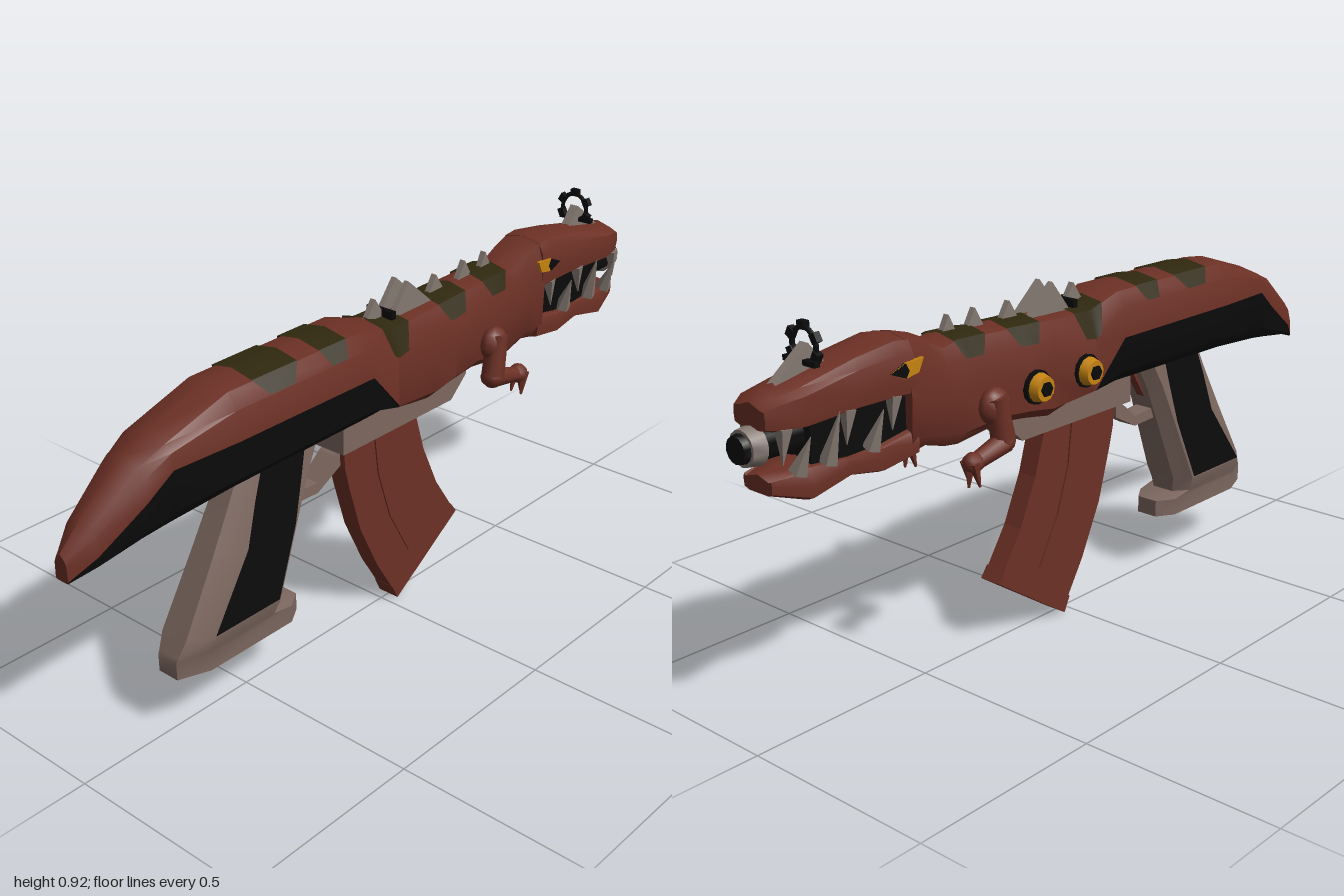
import * as THREE from 'three';
import { toCreasedNormals } from 'three/addons/utils/BufferGeometryUtils.js';

const mat = (name, color, side = THREE.FrontSide) => {
  const m = new THREE.MeshStandardMaterial({ color, side });
  m.name = name;
  return m;
};

export function createModel() {
  const group = new THREE.Group();
  const brown = mat('reddish brown hide', 0x6c3025);
  const black = mat('black', 0x0b0b0b);
  const grey = mat('warm grey', 0x7c675f);
  const bone = mat('bone grey', 0x857972);
  const olive = mat('olive stripe', 0x30280f, THREE.DoubleSide);
  const amber = mat('amber', 0xc4820f);

  const add = (name, geo, material) => {
    const mesh = new THREE.Mesh(geo, material);
    mesh.name = name;
    group.add(mesh);
    return mesh;
  };

  // Skin through rows of points; closed rows can be capped at both ends
  const skin = (rows, closed = true, caps = closed, crease = 0.7) => {
    const n = rows[0].length, idx = [];
    for (let i = 0; i < rows.length - 1; i++) {
      for (let j = 0; j < (closed ? n : n - 1); j++) {
        const a = i * n + j, b = i * n + (j + 1) % n;
        idx.push(a, a + n, b, b, a + n, b + n);
      }
    }
    const e = (rows.length - 1) * n;
    if (caps) for (let j = 1; j < n - 1; j++) idx.push(0, j, j + 1, e, e + j + 1, e + j);
    const g = new THREE.BufferGeometry();
    g.setAttribute('position', new THREE.Float32BufferAttribute(rows.flat(2), 3));
    g.setIndex(idx);
    return toCreasedNormals(g, crease);
  };

  // Side profile of [z, y] points, given a thickness across x
  const plate = (name, pts, thick, x, material) => {
    const shape = new THREE.Shape(pts.map(([z, y]) => new THREE.Vector2(-z, y)));
    const g = new THREE.ExtrudeGeometry(shape, { depth: thick, bevelEnabled: false });
    g.translate(0, 0, -thick / 2).rotateY(Math.PI / 2).translate(x, 0, 0);
    return add(name, g, material);
  };

  // Tapered rod between two points
  const rod = (name, p, q, r1, r2, sides, material) => {
    const a = new THREE.Vector3(...p), b = new THREE.Vector3(...q), d = b.clone().sub(a);
    const g = toCreasedNormals(new THREE.CylinderGeometry(r2, r1, d.length(), sides), 0.9);
    const mesh = add(name, g, material);
    mesh.position.copy(a).add(b).multiplyScalar(0.5);
    mesh.quaternion.setFromUnitVectors(new THREE.Vector3(0, 1, 0), d.normalize());
    return mesh;
  };

  // Section: z, bottom y, side line y, top y, half width, top half width
  const ring = ([z, yb, ym, yt, w, wt]) => {
    const half = [[w * 0.65, yb], [w * 0.96, yb + (ym - yb) * 0.25], [w, ym],
      [w * 0.95, ym + (yt - ym) * 0.6], [wt, yt - 0.012]];
    return [...half, [0, yt], ...half.map(([x, y]) => [-x, y]).reverse()].map(([x, y]) => [x, y, z]);
  };
  const tail = [
    [1, 0.525, 0.53, 0.59, 0.02, 0.014], [0.94, 0.545, 0.575, 0.65, 0.05, 0.034],
    [0.82, 0.565, 0.655, 0.745, 0.07, 0.048], [0.75, 0.575, 0.71, 0.775, 0.08, 0.055],
    [0.57, 0.588, 0.71, 0.832, 0.09, 0.06], [0.13, 0.593, 0.71, 0.835, 0.092, 0.064],
    [0.03, 0.593, 0.6, 0.803, 0.085, 0.06],
  ];
  const torso = [
    [0.03, 0.593, 0.6, 0.803, 0.085, 0.06], [-0.12, 0.558, 0.66, 0.808, 0.08, 0.055],
    [-0.2, 0.572, 0.67, 0.81, 0.08, 0.052], [-0.3, 0.58, 0.68, 0.815, 0.074, 0.05],
    [-0.42, 0.565, 0.68, 0.82, 0.07, 0.05], [-0.46, 0.57, 0.69, 0.812, 0.067, 0.048],
    [-0.52, 0.588, 0.7, 0.84, 0.068, 0.05], [-0.58, 0.578, 0.72, 0.857, 0.072, 0.055],
  ];
  const upperJaw = [
    [-0.57, 0.715, 0.76, 0.855, 0.072, 0.055], [-0.61, 0.72, 0.76, 0.86, 0.072, 0.054],
    [-0.72, 0.72, 0.755, 0.845, 0.066, 0.05], [-0.87, 0.718, 0.75, 0.815, 0.074, 0.05],
    [-0.93, 0.722, 0.75, 0.805, 0.066, 0.044], [-0.96, 0.73, 0.75, 0.785, 0.05, 0.034],
  ];
  const lowerJaw = [
    [-0.56, 0.58, 0.61, 0.655, 0.07, 0.06], [-0.66, 0.564, 0.6, 0.638, 0.068, 0.06],
    [-0.75, 0.58, 0.61, 0.636, 0.064, 0.055], [-0.86, 0.558, 0.595, 0.645, 0.07, 0.06],
    [-0.95, 0.588, 0.61, 0.628, 0.046, 0.04],
  ];

  // Tail: brown back, black flanks and belly
  const tailRings = tail.map(ring);
  add('tailBack', skin(tailRings.map(r => r.slice(2, 9)), false), brown);
  add('tailFlank', skin(tailRings.map(r => [...r.slice(8), ...r.slice(0, 3)]), false), black);
  add('tailTip', new THREE.ShapeGeometry(new THREE.Shape(
    tailRings[0].map(([x, y]) => new THREE.Vector2(x, y)))).translate(0, 0, 1), brown);
  add('torso', skin(torso.map(ring)), brown);
  add('upperJaw', skin(upperJaw.map(ring)), brown);
  add('lowerJaw', skin(lowerJaw.map(ring)), brown);

  // Stripes draped over the back
  const spine = [...tail, ...torso.slice(1)];
  const sectionAt = z => {
    let i = 0;
    while (i < spine.length - 2 && spine[i + 1][0] > z) i++;
    const a = spine[i], b = spine[i + 1], t = (z - a[0]) / (b[0] - a[0]);
    return a.map((v, k) => v + (b[k] - v) * t);
  };
  for (const [z1, z2] of [[0.5, 0.36], [0.29, 0.2], [0.07, -0.03], [-0.15, -0.26], [-0.33, -0.43]]) {
    const rows = [];
    for (let i = 0; i <= 8; i++) {
      const t = i / 8 - 0.5;
      rows.push([3, 4, 5, 6, 7].map(k => {
        const z = (z1 + z2) / 2 + (z2 - z1) * t * (k === 3 || k === 7 ? 0.55 : 1);
        const p = ring(sectionAt(z))[k];
        return [p[0] * 1.04, p[1] + 0.004, z];
      }));
    }
    add('backStripe', skin(rows, false), olive);
  }

  // Mouth, barrel and muzzle
  add('mouthInside', new THREE.BoxGeometry(0.1, 0.11, 0.3).translate(0, 0.68, -0.7), black);
  rod('barrel', [0, 0.692, -0.6], [0, 0.692, -0.96], 0.036, 0.036, 14, black);
  rod('muzzleRing', [0, 0.692, -0.95], [0, 0.692, -0.985], 0.045, 0.04, 14, bone);
  rod('muzzleTip', [0, 0.692, -0.98], [0, 0.692, -1], 0.034, 0.03, 14, black);

  // Paired details: teeth, eyes and arms
  for (const s of [1, -1]) {
    for (const [z, h] of [[-0.69, 0.72], [-0.81, 0.745], [-0.89, 0.71]])
      rod('lowerTooth', [s * 0.058, 0.63, z], [s * 0.09, h, z + 0.01], 0.022, 0.001, 5, bone);
    for (const z of [-0.62, -0.75, -0.92])
      rod('upperTooth', [s * 0.056, 0.73, z], [s * 0.06, 0.655, z - 0.01], 0.02, 0.001, 5, bone);
    plate('eye', [[-0.545, 0.803], [-0.6, 0.8], [-0.64, 0.783], [-0.6, 0.765], [-0.56, 0.772]], 0.009, s * 0.071, amber);
    plate('pupil', [[-0.6, 0.8], [-0.64, 0.783], [-0.6, 0.766], [-0.59, 0.782]], 0.009, s * 0.073, black);

    const shoulder = add('shoulder', new THREE.SphereGeometry(0.05, 10, 8), brown);
    shoulder.scale.set(0.6, 0.9, 0.9);
    shoulder.position.set(s * 0.088, 0.645, -0.34);
    rod('upperArm', [s * 0.095, 0.67, -0.345], [s * 0.1, 0.565, -0.325], 0.028, 0.03, 8, brown);
    const elbow = add('elbow', new THREE.SphereGeometry(0.031, 8, 6), brown);
    elbow.position.set(s * 0.098, 0.56, -0.325);
    rod('forearm', [s * 0.1, 0.558, -0.32], [s * 0.104, 0.535, -0.425], 0.027, 0.02, 8, brown);
    const hand = add('hand', new THREE.SphereGeometry(0.026, 8, 6), brown);
    hand.position.set(s * 0.104, 0.535, -0.43);
    for (const dx of [-0.016, 0, 0.016])
      rod('claw', [s * 0.104 + dx * 0.8, 0.54, -0.44], [s * 0.104 + dx, 0.48, -0.425 - (dx ? 0 : 0.02)], 0.014, 0.003, 5, brown);
  }

  // Back spines, twin rear sight and nose spike
  for (const [z, y, w] of [[0.03, 0.855, 0.045], [-0.2, 0.852, 0.04], [-0.315, 0.857, 0.04], [-0.4, 0.857, 0.035]])
    plate('backSpine', [[z + w, 0.79], [z, y], [z - w, 0.79]], 0.016, 0, bone);
  for (const s of [1, -1])
    plate('rearSight', [[0.0, 0.79], [-0.07, 0.877], [-0.16, 0.8], [-0.16, 0.79]], 0.014, s * 0.02, bone);
  add('rearSightBar', new THREE.BoxGeometry(0.08, 0.02, 0.015).translate(0, 0.813, 0), black);
  plate('noseSpike', [[-0.76, 0.82], [-0.81, 0.878], [-0.91, 0.8], [-0.8, 0.8]], 0.026, 0, bone);

  // Toothed front sight ring
  const sight = add('frontSight', new THREE.TorusGeometry(0.038, 0.006, 6, 20, Math.PI * 1.3)
    .rotateZ(-Math.PI * 0.15).translate(0, 0.872, -0.81), black);
  for (const a of [-0.15, 0.16, 0.5, 0.84, 1.15].map(v => v * Math.PI)) {
    const knob = new THREE.Mesh(new THREE.BoxGeometry(0.018, 0.022, 0.016), black);
    knob.name = 'sightTooth';
    knob.position.set(Math.cos(a) * 0.043, 0.872 + Math.sin(a) * 0.043, -0.81);
    knob.rotation.z = a;
    sight.add(knob);
  }
  add('sightBar', new THREE.BoxGeometry(0.1, 0.012, 0.016).translate(0, 0.84, -0.82), black);

  // Round knobs on one flank
  for (const z of [-0.01, -0.19]) {
    rod('knobBase', [-0.07, 0.655, z], [-0.09, 0.655, z], 0.042, 0.042, 12, black);
    rod('knob', [-0.085, 0.655, z], [-0.113, 0.655, z], 0.038, 0.03, 12, amber);
    rod('knobCentre', [-0.1, 0.655, z], [-0.119, 0.655, z], 0.02, 0.018, 6, black);
  }

  // Grip: y, rear z, front z, half width
  const gripRows = [[0.15, 0.35, 0.74, 0.06], [0.195, 0.35, 0.74, 0.06], [0.205, 0.42, 0.735, 0.063],
    [0.245, 0.415, 0.715, 0.078], [0.42, 0.345, 0.615, 0.068], [0.53, 0.3, 0.555, 0.061], [0.62, 0.25, 0.51, 0.055]];
  add('grip', skin(gripRows.map(([y, a, b, w]) => {
    const c = (b - a) * 0.2;
    return [[w, y, a + c * 0.6], [w, y, b - c], [w * 0.5, y, b], [-w * 0.5, y, b],
      [-w, y, b - c], [-w, y, a + c * 0.6], [-w * 0.5, y, a], [w * 0.5, y, a]];
  })), grey);
  const panelRows = [[0.25, 0.455, 0.66, 0.08], [0.42, 0.385, 0.54, 0.071], [0.53, 0.355, 0.505, 0.064], [0.61, 0.335, 0.475, 0.059]];
  for (const s of [1, -1])
    add('gripPanel', skin(panelRows.map(([y, a, b, w]) =>
      s > 0 ? [[w, y, a], [w, y, b]] : [[-w, y, b], [-w, y, a]]), false), black);

  // Receiver, trigger and guard
  plate('receiver', [[0.2, 0.61], [0.2, 0.52], [-0.21, 0.52], [-0.27, 0.575], [-0.27, 0.61]], 0.11, 0, grey);
  plate('triggerGuard', [[0.37, 0.46], [0.355, 0.437], [0.26, 0.433], [0.18, 0.475], [0.18, 0.52], [0.2, 0.51],
    [0.26, 0.46], [0.36, 0.468]], 0.05, 0, grey);
  plate('trigger', [[0.34, 0.61], [0.34, 0.475], [0.325, 0.48], [0.26, 0.58], [0.25, 0.61]], 0.024, 0, brown);

  // Curved magazine with raised ribs and a foot
  plate('magazine', [[0.17, 0.55], [0.165, 0.46], [0.15, 0.4], [0.11, 0.265], [0.045, 0.13], [-0.02, 0.025],
    [-0.26, 0.175], [-0.19, 0.28], [-0.135, 0.4], [-0.105, 0.5], [-0.1, 0.55]], 0.054, 0, brown);
  for (const s of [1, -1])
    plate('magazineRib', [[0.06, 0.52], [0.045, 0.4], [0.0, 0.26], [-0.075, 0.125], [-0.125, 0.155],
      [-0.055, 0.28], [-0.015, 0.4], [0.0, 0.52]], 0.006, s * 0.028, brown);
  plate('magazineFoot', [[-0.01, 0.04], [-0.03, 0], [-0.272, 0.16], [-0.25, 0.19]], 0.062, 0, brown);

  return group;
}
